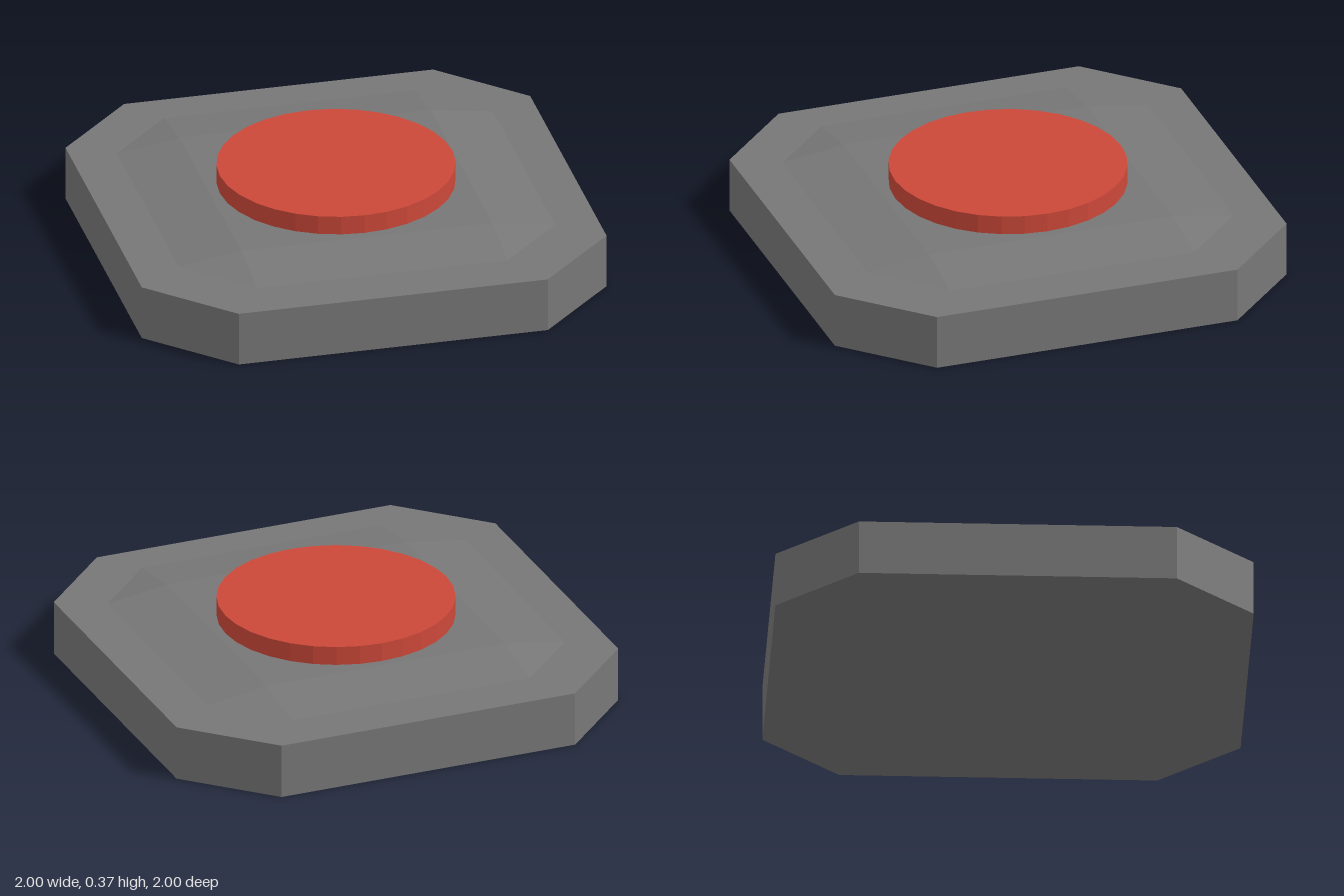
import * as THREE from 'three';

const grey = new THREE.MeshStandardMaterial({ color: 0x777777, flatShading: true });
const greySheet = new THREE.MeshStandardMaterial({ color: 0x777777, flatShading: true, side: THREE.DoubleSide });
const red = new THREE.MeshStandardMaterial({ color: 0xcc4839, flatShading: true });

// Corner points of a square with cut corners, anticlockwise
function cutSquare(half, flat) {
  return [
    [half, -flat], [half, flat], [flat, half], [-flat, half],
    [-half, flat], [-half, -flat], [-flat, -half], [flat, -half],
  ];
}

function addMesh(group, name, geometry, material) {
  const mesh = new THREE.Mesh(geometry, material);
  mesh.name = name;
  group.add(mesh);
  return mesh;
}

// Thin cover: flat square centre, sloping sides and triangular corners
function coverGeometry(half, flat, low, high) {
  const positions = [];
  const tri = (a, b, c) => positions.push(...a, ...b, ...c);
  for (let i = 0; i < 4; i++) {
    const c = Math.round(Math.cos(i * Math.PI / 2));
    const s = Math.round(Math.sin(i * Math.PI / 2));
    const turn = (x, y, z) => [x * c + z * s, y, z * c - x * s];
    const innerL = turn(-flat, high, flat), innerR = turn(flat, high, flat);
    const outerL = turn(-flat, low, half), outerR = turn(flat, low, half);
    const nextOuter = turn(half, low, flat);
    tri([0, high, 0], innerL, innerR); // quarter of the centre
    tri(innerL, outerL, outerR); // sloping side
    tri(innerL, outerR, innerR);
    tri(innerR, outerR, nextOuter); // corner
  }
  const geometry = new THREE.BufferGeometry();
  geometry.setAttribute('position', new THREE.Float32BufferAttribute(positions, 3));
  geometry.computeVertexNormals();
  return geometry;
}

export function createModel() {
  const model = new THREE.Group();
  model.name = 'pushButton';
  const baseTop = 0.237, buttonTop = 0.372;

  // Base block with cut corners
  const outline = new THREE.Shape(cutSquare(1, 0.665).map(([x, y]) => new THREE.Vector2(x, y)));
  const block = new THREE.ExtrudeGeometry(outline, { depth: baseTop, bevelEnabled: false });
  block.rotateX(-Math.PI / 2);
  addMesh(model, 'base', block, grey);

  // Cover plate just above the base
  addMesh(model, 'coverPlate', coverGeometry(0.81, 0.54, 0.249, 0.29), greySheet);

  // Round button passing through the cover
  const height = buttonTop - baseTop;
  const button = addMesh(model, 'button', new THREE.CylinderGeometry(0.5, 0.5, height, 32), red);
  button.position.y = baseTop + height / 2;

  return model;
}
